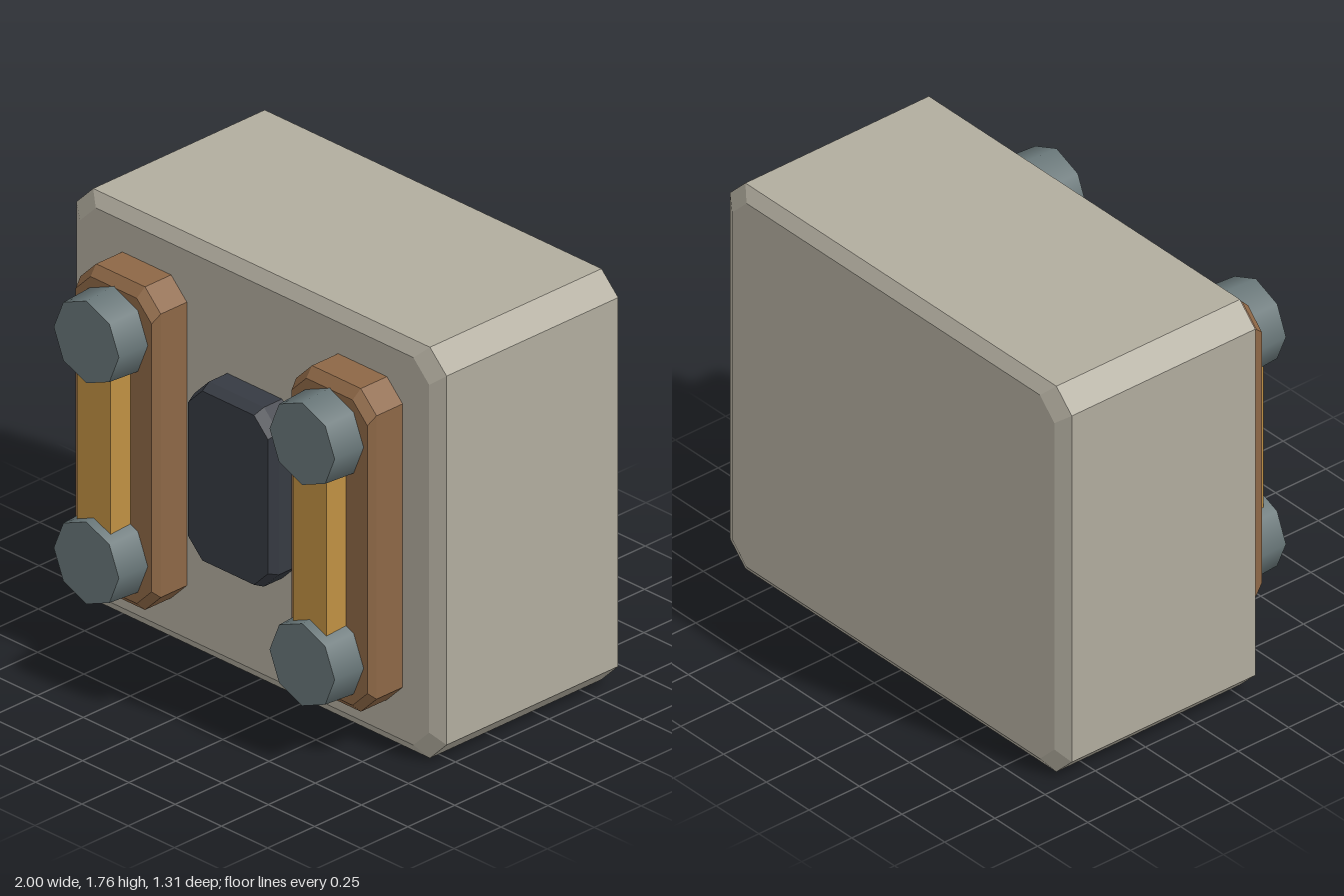
import * as THREE from 'three';

const material = (name, color) => {
  const m = new THREE.MeshStandardMaterial({ color });
  m.name = name;
  return m;
};

// Octagonal block along z: corner-cut rectangle swept through [z, scale] sections
function chamferBlock(hw, hh, cut, sections) {
  const ring = [
    [hw, -hh + cut], [hw, hh - cut], [hw - cut, hh], [-hw + cut, hh],
    [-hw, hh - cut], [-hw, -hh + cut], [-hw + cut, -hh], [hw - cut, -hh],
  ];
  const rings = sections.map(([z, s]) => ring.map(([x, y]) => [x * s, y * s, z]));
  const pos = [];
  const tri = (a, b, c) => pos.push(...a, ...b, ...c);
  for (let k = 0; k < rings.length - 1; k++) {
    const a = rings[k], b = rings[k + 1];
    for (let i = 0; i < 8; i++) {
      const j = (i + 1) % 8;
      tri(a[i], a[j], b[j]);
      tri(a[i], b[j], b[i]);
    }
  }
  // Flat end caps
  const back = rings[0], front = rings[rings.length - 1];
  for (let i = 1; i < 7; i++) {
    tri(front[0], front[i], front[i + 1]);
    tri(back[0], back[i + 1], back[i]);
  }
  const g = new THREE.BufferGeometry();
  g.setAttribute('position', new THREE.Float32BufferAttribute(pos, 3));
  g.computeVertexNormals();
  return g;
}

export function createModel() {
  const stone = material('stone', 0xb1ac9e);
  const wood = material('wood', 0x8d6746);
  const brass = material('brass', 0xbf9043);
  const steel = material('steel', 0x687678);
  const dark = material('dark', 0x363a42);

  const model = new THREE.Group();
  model.name = 'block';
  const midY = 0.88;
  const add = (parent, name, geometry, mat, x, y, z) => {
    const mesh = new THREE.Mesh(geometry, mat);
    mesh.name = name;
    mesh.position.set(x, y, z);
    parent.add(mesh);
  };

  // Main bevelled body
  add(model, 'body', chamferBlock(1, 0.88, 0.09,
    [[-0.655, 0.943], [-0.617, 1], [0.297, 1], [0.334, 0.943]]), stone, 0, midY, 0);

  // Centre panel
  add(model, 'centrePanel', chamferBlock(0.228, 0.384, 0.08,
    [[0.3, 1], [0.43, 1], [0.475, 0.945]]), dark, 0, midY + 0.003, 0);

  // Two mounting plates, each with a bar held between two knobs
  const plate = chamferBlock(0.217, 0.692, 0.085, [[0.3, 1], [0.473, 1], [0.51, 0.945]]);
  const bar = new THREE.BoxGeometry(0.18, 0.86, 0.125);
  const knob = new THREE.CylinderGeometry(0.176, 0.187, 0.185, 8).rotateX(Math.PI / 2);
  for (const side of [-1, 1]) {
    const unit = new THREE.Group();
    unit.name = side > 0 ? 'leftTerminal' : 'rightTerminal';
    unit.position.x = side * 0.583;
    add(unit, 'plate', plate, wood, 0, midY + 0.003, 0);
    add(unit, 'bar', bar, brass, 0, midY + 0.003, 0.553);
    add(unit, 'upperKnob', knob, steel, 0, 1.356, 0.563);
    add(unit, 'lowerKnob', knob, steel, 0, 0.41, 0.563);
    model.add(unit);
  }
  return model;
}
